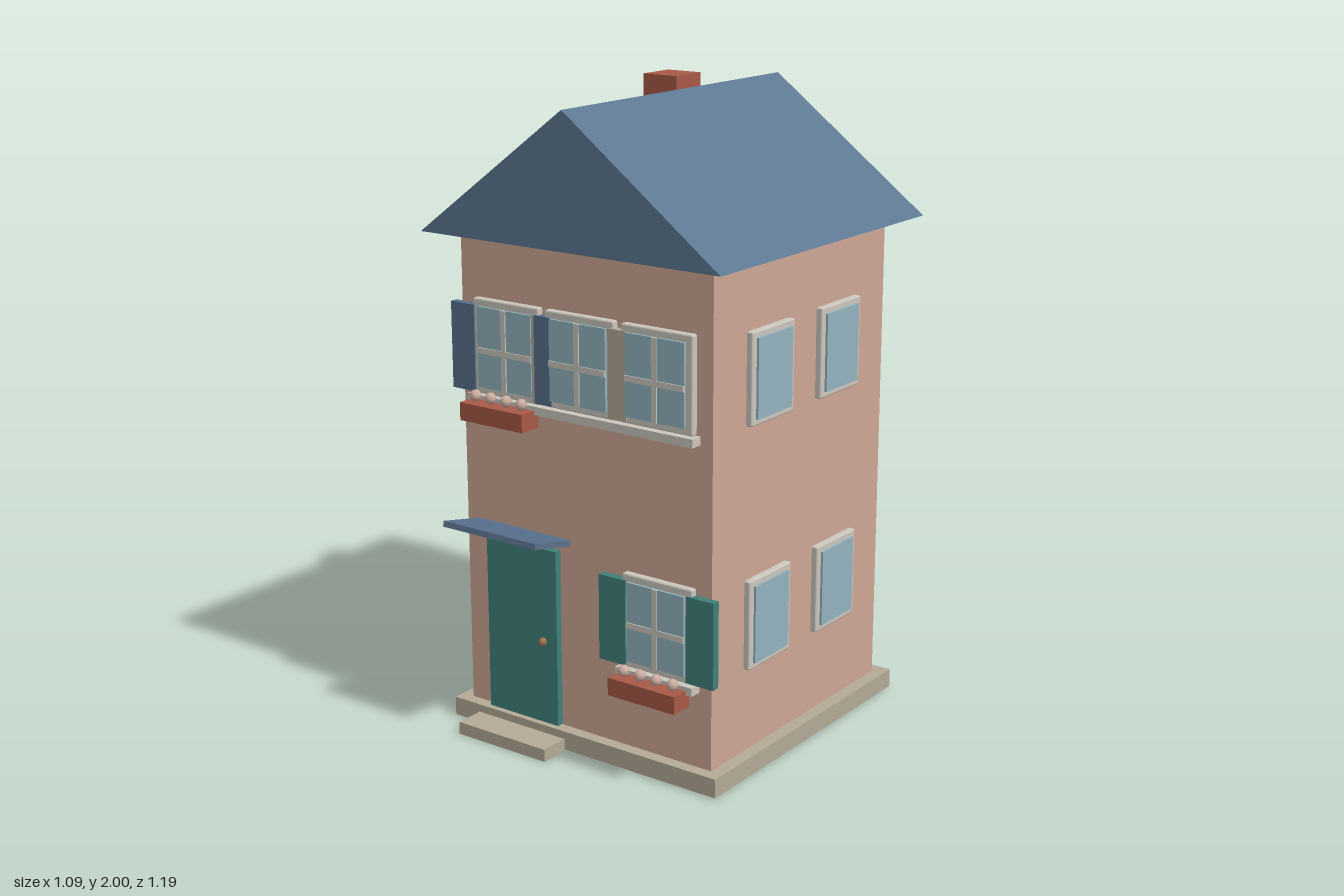
import * as THREE from 'three';
import { RoundedBoxGeometry } from 'three/addons/geometries/RoundedBoxGeometry.js';

const mat = (name, color) => {
  const m = new THREE.MeshStandardMaterial({ color });
  m.name = name;
  return m;
};

export function createModel() {
  const house = new THREE.Group();
  house.name = 'house';

  const wall = mat('pink plaster', 0xcea796);
  const roofBlue = mat('roof slate', 0x5c7890);
  const blue = mat('blue paint', 0x58708c);
  const glass = mat('window glass', 0x93b3bf);
  const trim = mat('pale trim', 0xcbc7bd);
  const green = mat('green paint', 0x40807a);
  const brick = mat('brick red', 0xa85947);
  const stone = mat('tan stone', 0xb3aa95);
  const blossom = mat('blossom', 0xcdaea2);
  const brass = mat('brass', 0xa0764e);

  const add = (parent, name, geometry, material, x = 0, y = 0, z = 0) => {
    const mesh = new THREE.Mesh(geometry, material);
    mesh.name = name;
    mesh.position.set(x, y, z);
    parent.add(mesh);
    return mesh;
  };
  // Box given by its minimum and maximum on each axis
  const box = (parent, name, material, x0, x1, y0, y1, z0, z1) =>
    add(parent, name, new THREE.BoxGeometry(x1 - x0, y1 - y0, z1 - z0), material,
      (x0 + x1) / 2, (y0 + y1) / 2, (z0 + z1) / 2);

  // Base, step and walls
  box(house, 'plinth', stone, -0.505, 0.505, 0.005, 0.065, -0.547, 0.463);
  box(house, 'doorStep', stone, -0.405, -0.06, 0, 0.04, 0.4, 0.56);
  box(house, 'walls', wall, -0.463, 0.463, 0.065, 1.58, -0.502, 0.424);

  // Gable roof and chimney
  const gable = new THREE.Shape([
    new THREE.Vector2(-0.545, 1.58),
    new THREE.Vector2(0.545, 1.58),
    new THREE.Vector2(0, 1.985),
  ]);
  add(house, 'roof', new THREE.ExtrudeGeometry(gable, { depth: 1.105, bevelEnabled: false }),
    roofBlue, 0, 0, -0.595);
  box(house, 'chimney', brick, -0.252, -0.125, 1.6, 2, -0.342, -0.213);

  // Door, knob and sloping canopy
  box(house, 'door', green, -0.37, -0.097, 0.067, 0.637, 0.42, 0.447);
  add(house, 'doorKnob', new THREE.SphereGeometry(0.013, 12, 8), brass, -0.148, 0.337, 0.453);
  const canopy = add(house, 'canopy', new THREE.BoxGeometry(0.36, 0.018, 0.17), blue, -0.233, 0.688, 0.512);
  canopy.rotation.x = -0.21;

  // Front window with cross bars and sill, centred on x and y
  const frontWindow = (name, x, y) => {
    const g = new THREE.Group();
    g.name = name;
    g.position.set(x, y, 0.424);
    add(g, 'frame', new RoundedBoxGeometry(0.254, 0.296, 0.04, 1, 0.006), trim, 0, 0, 0.001);
    box(g, 'glass', glass, -0.104, 0.104, -0.125, 0.125, 0.022, 0.03);
    box(g, 'uprightBar', trim, -0.009, 0.009, -0.125, 0.125, 0.028, 0.034);
    box(g, 'crossBar', trim, -0.104, 0.104, -0.018, 0, 0.028, 0.034);
    box(g, 'sill', trim, -0.14, 0.14, -0.174, -0.148, -0.005, 0.04);
    house.add(g);
  };
  for (const x of [-0.278, 0, 0.28]) frontWindow('upperWindow', x, 1.236);
  frontWindow('lowerWindow', 0.28, 0.479);

  // Shutters: name, colour, x range, y range
  const shutters = [
    ['upperShutter', blue, -0.487, -0.397, 1.093, 1.363],
    ['upperShutter', blue, -0.164, -0.103, 1.093, 1.363],
    ['tanShutter', stone, -0.174, -0.164, 1.093, 1.363],
    ['tanShutter', stone, 0.11, 0.176, 1.093, 1.363],
    ['lowerShutter', green, 0.07, 0.168, 0.336, 0.606],
    ['lowerShutter', green, 0.389, 0.487, 0.336, 0.606],
  ];
  for (const [name, m, x0, x1, y0, y1] of shutters) box(house, name, m, x0, x1, y0, y1, 0.424, 0.45);

  // Planters with a row of round blossoms
  for (const [x, y] of [[-0.278, 1.047], [0.277, 0.291]]) {
    const g = new THREE.Group();
    g.name = 'flowerBox';
    g.position.set(x, y, 0.483);
    box(g, 'planter', brick, -0.121, 0.121, -0.028, 0.028, -0.038, 0.038);
    for (let i = 0; i < 4; i++) {
      add(g, 'flower', new THREE.SphereGeometry(0.018, 10, 7), blossom, -0.088 + i * 0.0595, 0.047, 0.003);
    }
    house.add(g);
  }

  // Two rows of windows on the left wall
  for (const y of [0.471, 1.225]) {
    for (const z of [0.146, -0.225]) {
      const g = new THREE.Group();
      g.name = 'sideWindow';
      g.position.set(0.463, y, z);
      add(g, 'frame', new RoundedBoxGeometry(0.04, 0.282, 0.223, 1, 0.006), trim);
      box(g, 'glass', glass, 0.018, 0.027, -0.121, 0.121, -0.09, 0.09);
      house.add(g);
    }
  }

  return house;
}
